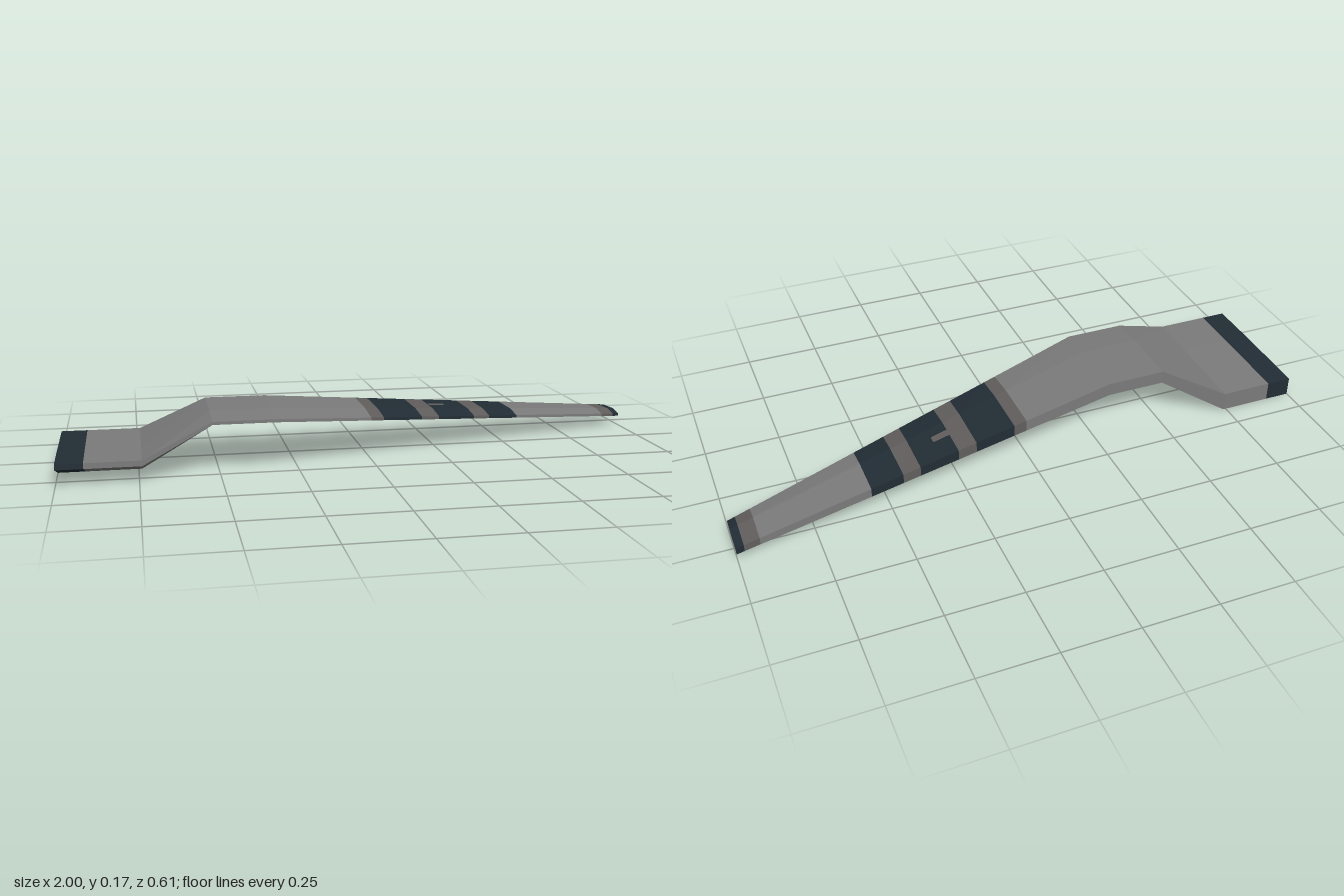
import * as THREE from 'three';

const mat = (name, color) => {
  const m = new THREE.MeshStandardMaterial({ color });
  m.name = name;
  return m;
};

// Key sections: x, front z, back z, then heights at the
// front (bottom, top), ridge (bottom, top) and back (bottom, top)
const SECTIONS = [
  [-1, 0.305, -0.167, 0.052, 0.07, 0, 0.07, 0, 0.065],
  [-0.74, 0.305, -0.167, 0.052, 0.07, 0, 0.07, 0, 0.065],
  [-0.52, 0.235, -0.105, 0.155, 0.165, 0.13, 0.175, 0.13, 0.175],
  [-0.32, 0.235, -0.105, 0.155, 0.165, 0.13, 0.175, 0.13, 0.175],
  [1, -0.167, -0.308, 0.034, 0.043, 0.025, 0.052, 0.025, 0.048],
];
const RIDGE = 0.36; // ridge position across the chord

function sectionAt(x) {
  let k = 0;
  while (k < SECTIONS.length - 2 && x > SECTIONS[k + 1][0]) k++;
  const a = SECTIONS[k], b = SECTIONS[k + 1];
  const t = (x - a[0]) / (b[0] - a[0]);
  return a.map((v, i) => v + (b[i] - v) * t);
}

// Six-sided ring: front bottom, front top, ridge, back top, back bottom, keel
function ringAt(x) {
  const [, zf, zb, fb, ft, mb, mt, bb, bt] = sectionAt(x);
  const zm = zf + (zb - zf) * RIDGE;
  return [[x, fb, zf], [x, ft, zf], [x, mt, zm], [x, bt, zb], [x, bb, zb], [x, mb, zm]];
}

function meshFrom(tris, material, name) {
  const g = new THREE.BufferGeometry();
  g.setAttribute('position', new THREE.Float32BufferAttribute(tris.flat(), 3));
  g.computeVertexNormals();
  const mesh = new THREE.Mesh(g, material);
  mesh.name = name;
  return mesh;
}

// Skin between two stations, following the key sections in between
function skin(x0, x1, material, name) {
  const xs = [x0, ...SECTIONS.map(s => s[0]).filter(x => x > x0 && x < x1), x1];
  const tris = [];
  for (let s = 0; s < xs.length - 1; s++) {
    const a = ringAt(xs[s]), b = ringAt(xs[s + 1]);
    for (let i = 0; i < 6; i++) {
      const j = (i + 1) % 6;
      tris.push(a[i], b[i], b[j], a[i], b[j], a[j]);
    }
  }
  return meshFrom(tris, material, name);
}

function cap(x, material, name) {
  const r = ringAt(x), tris = [];
  for (let i = 1; i < 5; i++) {
    if (x > 0) tris.push(r[0], r[i + 1], r[i]);
    else tris.push(r[0], r[i], r[i + 1]);
  }
  return meshFrom(tris, material, name);
}

// Flat patch just above the rear upper surface, u runs from ridge to back edge
function topPatch(x0, x1, u0, u1, material, name) {
  const p = (x, u) => {
    const r = ringAt(x);
    return r[2].map((v, i) => v + (r[3][i] - v) * u + (i === 1 ? 0.002 : 0));
  };
  const a = p(x0, u0), b = p(x1, u0), c = p(x1, u1), d = p(x0, u1);
  return meshFrom([a, b, c, a, c, d], material, name);
}

export function createModel() {
  const grey = mat('panel grey', 0x7b7b7b);
  const worn = mat('worn grey', 0x625e5e);
  const dark = mat('dark blue grey', 0x222d35);
  const wing = new THREE.Group();
  wing.name = 'wing';

  // Painted bands along the span: start, end, colour, name
  const bands = [
    [-1, -0.915, dark, 'rootBand'],
    [-0.915, 0.005, grey, 'innerPanel'],
    [0.005, 0.05, worn, 'wornEdge'],
    [0.05, 0.19, dark, 'innerStripe'],
    [0.19, 0.255, worn, 'innerGap'],
    [0.255, 0.39, dark, 'middleStripe'],
    [0.39, 0.45, worn, 'outerGap'],
    [0.45, 0.56, dark, 'outerStripe'],
    [0.56, 0.925, grey, 'outerPanel'],
    [0.925, 0.975, worn, 'tipBand'],
    [0.975, 1, dark, 'tipEdge'],
  ];
  for (const [x0, x1, m, name] of bands) wing.add(skin(x0, x1, m, name));

  // End faces and the worn notch in the middle stripe
  wing.add(cap(-1, dark, 'rootFace'), cap(1, worn, 'tipFace'));
  wing.add(topPatch(0.255, 0.315, 0.28, 0.46, worn, 'stripeNotch'));
  return wing;
}
